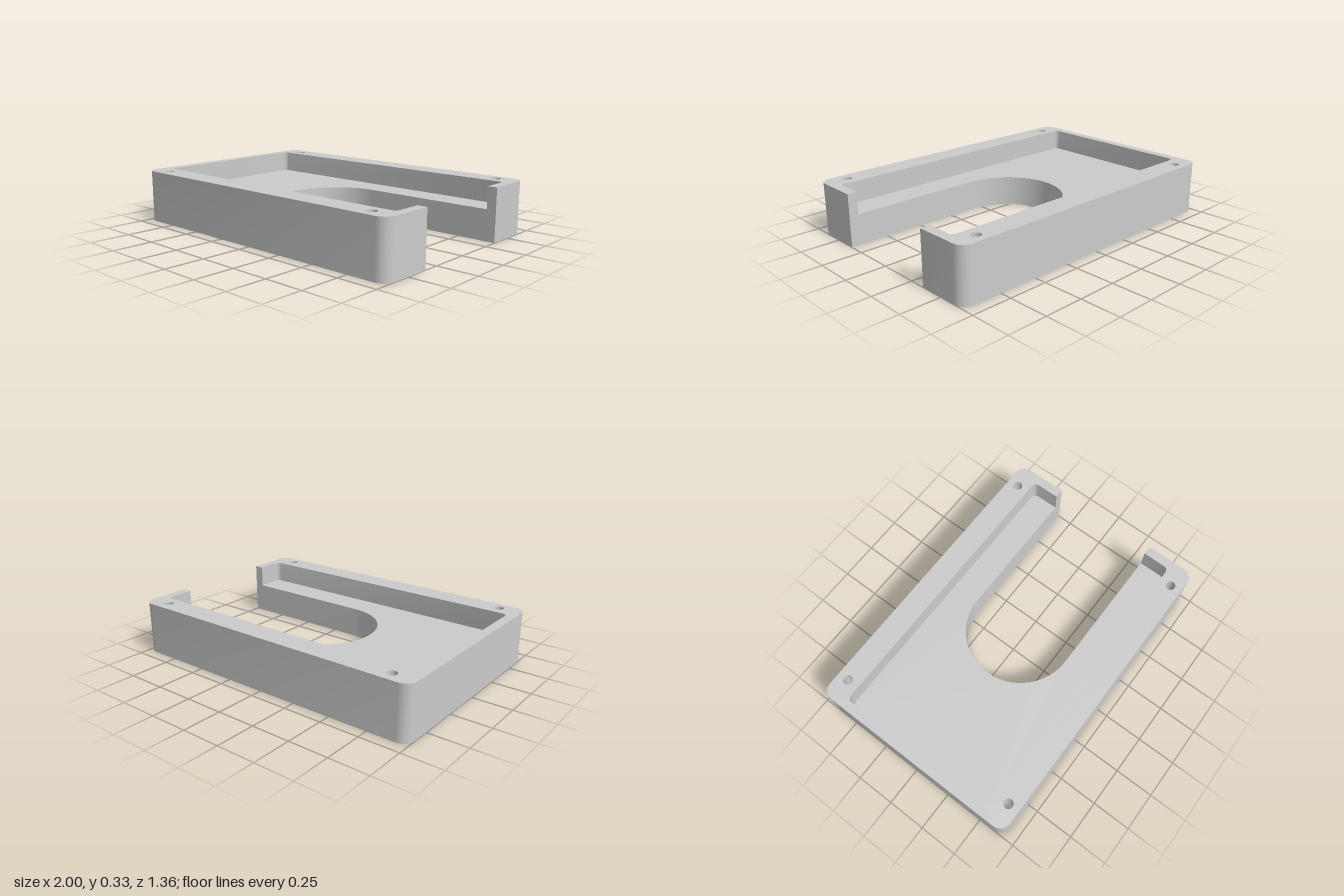
import * as THREE from 'three';
import { toCreasedNormals } from 'three/addons/utils/BufferGeometryUtils.js';

const H = 0.333, FLOOR = 0.195, BORE = 0.08; // total height, pocket floor, counterbore depth
const SLOT = 0.35, INNER_X = 0.94;           // slot half width, inside of the open end

const material = new THREE.MeshStandardMaterial({ color: 0xcccccc });
const v = (x, y) => new THREE.Vector2(x, y);

// Points along an arc, both ends included
function arc(cx, cy, r, from, to, n) {
  return Array.from({ length: n + 1 }, (_, i) => {
    const a = from + (to - from) * i / n;
    return v(cx + r * Math.cos(a), cy + r * Math.sin(a));
  });
}

// Four rounded corners, counter-clockwise from the +x +y one
function corners(hx, hy, r) {
  return [[1, 1], [-1, 1], [-1, -1], [1, -1]].flatMap(([sx, sy], i) =>
    arc(sx * (hx - r), sy * (hy - r), r, i * Math.PI / 2, (i + 1) * Math.PI / 2, 8));
}

// Vertical wall along a plan path; it faces the right of the direction of travel
function wall(points, y0, y1) {
  const pos = [];
  for (let i = 0; i < points.length - 1; i++) {
    const p = points[i], q = points[i + 1];
    pos.push(p.x, y0, -p.y, q.x, y0, -q.y, q.x, y1, -q.y);
    pos.push(p.x, y0, -p.y, q.x, y1, -q.y, p.x, y1, -p.y);
  }
  const g = new THREE.BufferGeometry();
  g.setAttribute('position', new THREE.Float32BufferAttribute(pos, 3));
  return toCreasedNormals(g, Math.PI / 6);
}

// Flat face with holes, facing up or down
function cap(points, holes, y, up = true) {
  const shape = new THREE.Shape(points);
  shape.holes = holes.map(h => new THREE.Path(h));
  return new THREE.ShapeGeometry(shape)
    .rotateX(up ? -Math.PI / 2 : Math.PI / 2)
    .translate(0, y, 0);
}

export function createModel() {
  const group = new THREE.Group();
  const add = (name, geometry) => {
    const mesh = new THREE.Mesh(geometry, material);
    mesh.name = name;
    group.add(mesh);
  };

  // Plan outlines, all ending at the two inner edges of the open end
  const outer = [v(INNER_X, SLOT), v(1, SLOT), ...corners(1, 0.68, 0.07),
    v(1, -SLOT), v(INNER_X, -SLOT)];
  const pocket = [v(INNER_X, SLOT), ...corners(INNER_X, 0.53, 0.03),
    v(INNER_X, -SLOT)].reverse();
  const slot = [v(INNER_X, -SLOT),
    ...arc(0.075, 0, SLOT, 1.5 * Math.PI, 0.5 * Math.PI, 32), v(INNER_X, SLOT)];

  // Clockwise circles, so that their walls face inwards
  const places = [[1, 1], [-1, 1], [-1, -1], [1, -1]];
  const circles = (z, r, n) => places.map(([sx, sy]) =>
    arc(sx * 0.85, sy * z, r, 2 * Math.PI, 0, n));
  const screwHoles = circles(0.607, 0.03, 24);
  const bores = circles(0.54, 0.105, 32);
  const open = c => c.slice(0, -1);

  // Walls
  add('outerWall', wall(outer, 0, H));
  add('pocketWall', wall(pocket, FLOOR, H));
  add('slotWall', wall(slot, 0, FLOOR));

  // Horizontal faces
  add('rimTop', cap([...outer, ...pocket.slice(1, -1)], screwHoles.map(open), H));
  add('pocketFloor', cap([...pocket.slice().reverse(), ...slot.slice(1, -1)], [], FLOOR));
  add('underside', cap([...outer, ...slot.slice(1, -1)], bores.map(open), 0, false));

  // Screw holes, each opening off-centre into a wide counterbore below
  places.forEach(([, sy], i) => {
    add('screwHole', wall(screwHoles[i], BORE, H));
    add('counterbore', wall(bores[i], 0, BORE));
    // The downward cap mirrors the plan, so it takes the opposite corner
    const j = places.findIndex(([sx, s]) => sx === places[i][0] && s === -sy);
    add('counterboreCeiling', cap(open(bores[j]), [open(screwHoles[j])], BORE, false));
  });
  return group;
}
